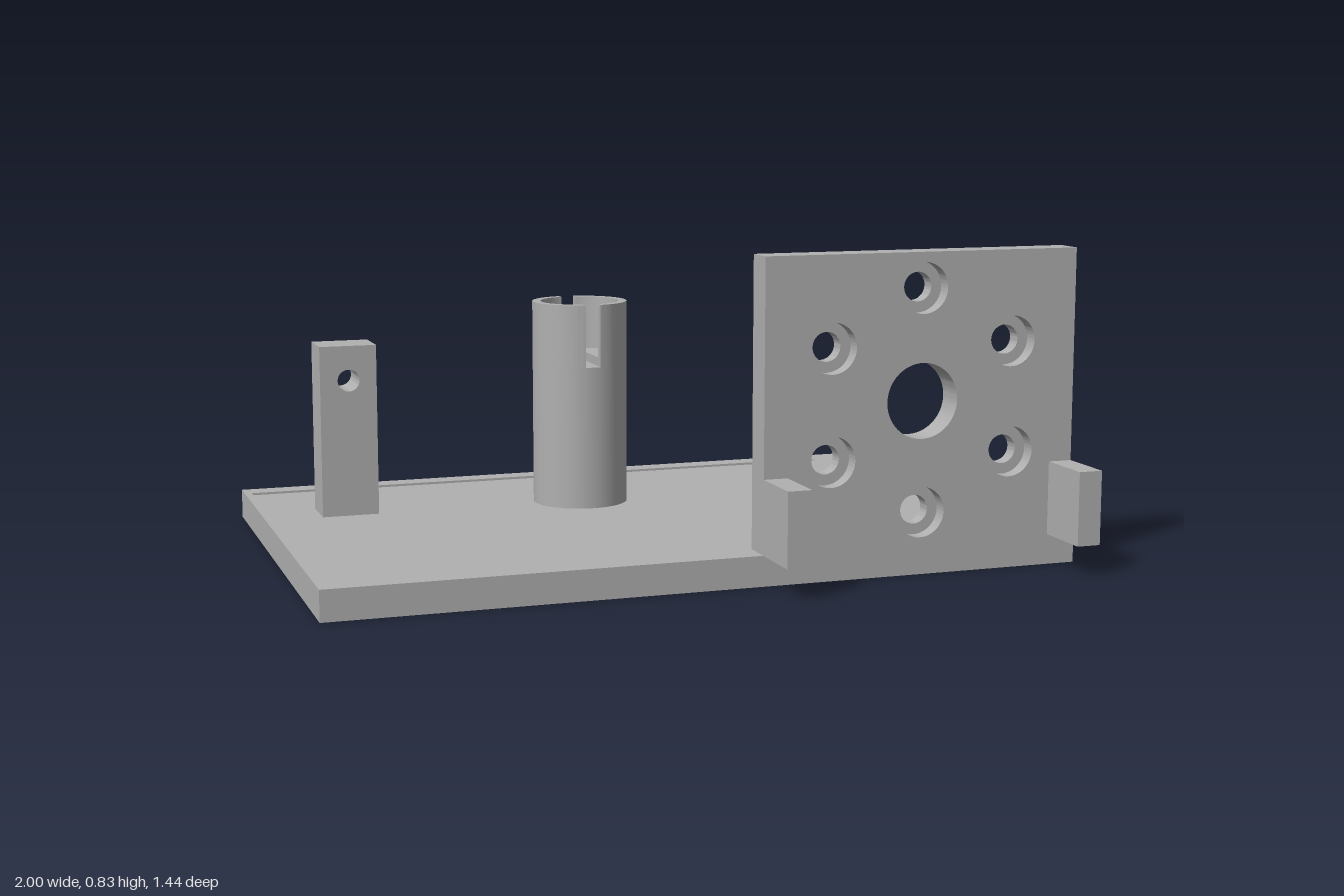
import * as THREE from 'three';
import { toCreasedNormals } from 'three/addons/utils/BufferGeometryUtils.js';

const grey = new THREE.MeshStandardMaterial({ color: 0xb0b0b0 });
grey.name = 'grey';

function rect(x0, y0, x1, y1, S = THREE.Shape) {
  return new S([[x0, y0], [x1, y0], [x1, y1], [x0, y1]].map(([x, y]) => new THREE.Vector2(x, y)));
}

function hole(x, y, r) {
  const p = new THREE.Path();
  p.absarc(x, y, r, 0, Math.PI * 2, true);
  return p;
}

function extrude(shape, depth) {
  const g = new THREE.ExtrudeGeometry(shape, { depth, bevelEnabled: false, curveSegments: 40 });
  return toCreasedNormals(g, 0.5);
}

function add(parent, name, geometry, x = 0, y = 0, z = 0) {
  const m = new THREE.Mesh(geometry, grey);
  m.name = name;
  m.position.set(x, y, z);
  parent.add(m);
  return m;
}

function box(parent, name, x0, x1, y0, y1, z0, z1) {
  return add(parent, name, new THREE.BoxGeometry(x1 - x0, y1 - y0, z1 - z0),
    (x0 + x1) / 2, (y0 + y1) / 2, (z0 + z1) / 2);
}

// Half of the slotted post in plan; inner radius 0 gives a solid half
function halfPlan(outer, inner, gap) {
  const s = new THREE.Shape();
  const a = Math.acos(gap / outer);
  s.absarc(0, 0, outer, -a, a, false);
  if (inner) {
    const b = Math.acos(gap / inner);
    s.absarc(0, 0, inner, b, -b, true);
  }
  return s;
}

export function createModel() {
  const model = new THREE.Group();
  model.name = 'mountingFixture';

  // Base with a shallow groove along the back
  const base = new THREE.Group();
  base.name = 'base';
  model.add(base);
  box(base, 'baseLower', -1, 1, 0, 0.04, -0.72, 0.56);
  const top = rect(-1, -0.56, 1, 0.72);
  top.holes.push(rect(-0.98, 0.628, 0.767, 0.66, THREE.Path));
  add(base, 'baseGrooved', extrude(top, 0.04).rotateX(-Math.PI / 2), 0, 0.04, 0);

  // Upright plate: through holes behind, counterbores in front
  const plate = new THREE.Group();
  plate.name = 'motorPlate';
  model.add(plate);
  const cx = 0.553, cy = 0.452;
  [['plateBack', 0.038, 0.48], ['plateFront', 0.066, 0.52]].forEach(([name, r, z]) => {
    const s = rect(0.12, 0.08, 0.985, 0.833);
    s.holes.push(hole(cx, cy, 0.098));
    for (let i = 0; i < 6; i++) {
      const a = Math.PI / 2 + i * Math.PI / 3;
      s.holes.push(hole(cx + 0.289 * Math.cos(a), cy + 0.289 * Math.sin(a), r));
    }
    add(plate, name, extrude(s, 0.04), 0, 0, z);
  });
  box(plate, 'footRight', 0.12, 0.184, 0.08, 0.274, 0.56, 0.72);
  box(plate, 'footLeft', 0.921, 0.985, 0.08, 0.274, 0.56, 0.72);

  // Round post with a bored and slotted top
  const post = new THREE.Group();
  post.name = 'slottedPost';
  post.position.set(-0.108, 0, -0.273);
  model.add(post);
  const R = 0.132, slotY = 0.475, floorY = 0.5, topY = 0.648;
  add(post, 'postBody', new THREE.CylinderGeometry(R, R, slotY - 0.08, 80), 0, (slotY + 0.08) / 2, 0);
  for (const turn of [0, Math.PI]) {
    [['boreFloor', 0, slotY, floorY], ['postWall', 0.109, floorY, topY]].forEach(([name, inner, y0, y1]) => {
      const g = extrude(halfPlan(R, inner, 0.021), y1 - y0).rotateX(-Math.PI / 2).rotateY(turn);
      add(post, name, g, 0, y0, 0);
    });
  }

  // Square post with a cross hole
  const square = rect(-0.845, 0.08, -0.69, 0.548);
  square.holes.push(hole(-0.767, 0.453, 0.03));
  add(model, 'squarePost', extrude(square, 0.124), 0, 0, -0.382);

  return model;
}
